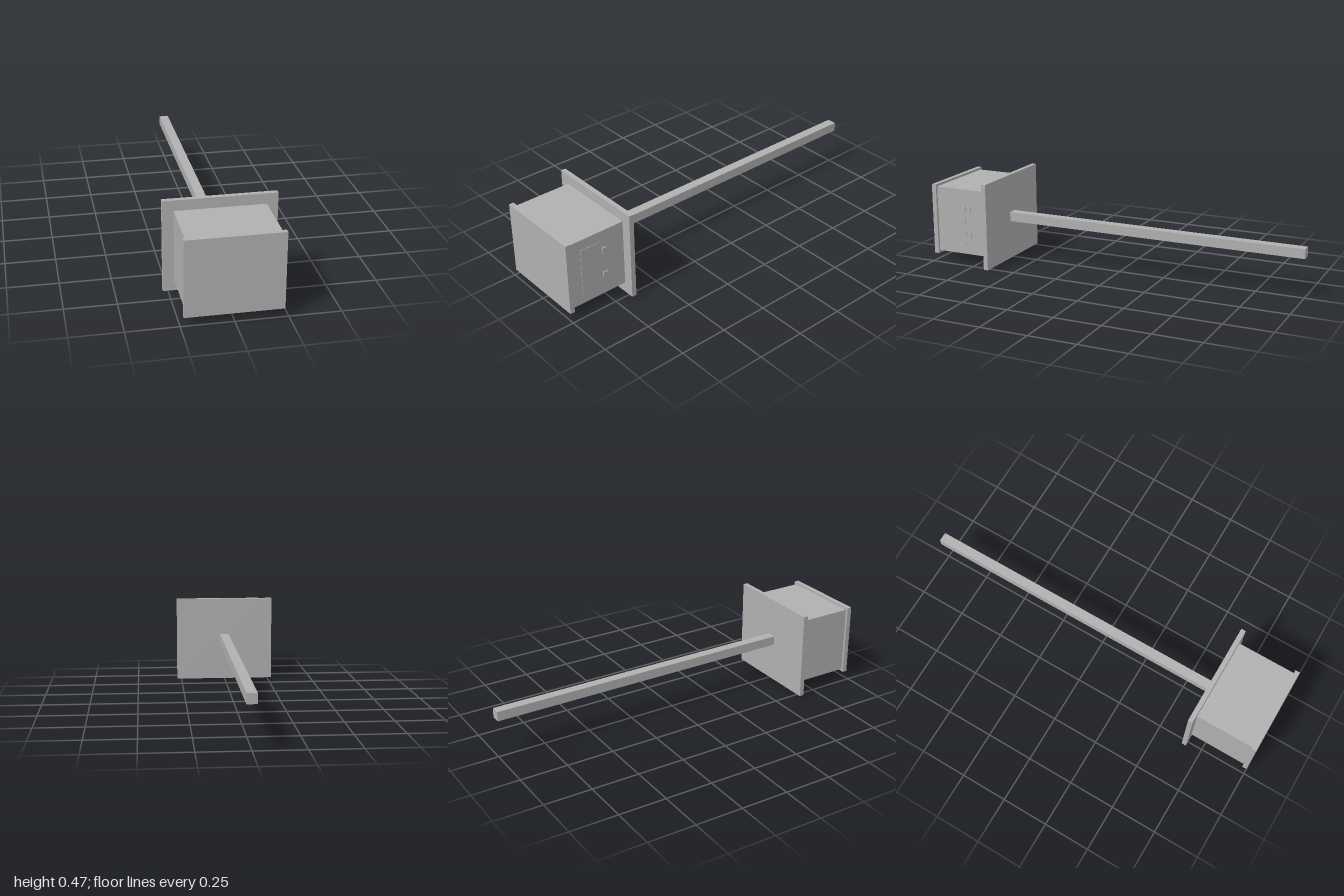
import * as THREE from 'three';

export function createModel() {
  const model = new THREE.Group();
  const grey = new THREE.MeshStandardMaterial({ color: 0xb0b0b0 });
  grey.name = 'grey metal';

  // Box given by its lower and upper limits on each axis
  const block = (name, [x0, x1], [y0, y1], [z0, z1]) => {
    const mesh = new THREE.Mesh(new THREE.BoxGeometry(x1 - x0, y1 - y0, z1 - z0), grey);
    mesh.name = name;
    mesh.position.set((x0 + x1) / 2, (y0 + y1) / 2, (z0 + z1) / 2);
    model.add(mesh);
  };

  // Housing between its front cover and the wide rear flange
  block('frontCover', [-0.233, 0.233], [0.042, 0.426], [0.975, 1]);
  block('housing', [-0.22, 0.22], [0.056, 0.413], [0.668, 0.975]);
  block('rearFlange', [-0.274, 0.274], [0, 0.466], [0.643, 0.668]);

  // Long square bar behind the flange
  block('bar', [-0.025, 0.025], [0.209, 0.259], [-1, 0.643]);

  // Thin access door with two latches on the left side
  block('accessDoor', [0.219, 0.2225], [0.109, 0.359], [0.803, 0.915]);
  for (const y of [0.165, 0.303]) {
    block('latch', [0.219, 0.226], [y - 0.016, y + 0.016], [0.768, 0.794]);
  }

  return model;
}
